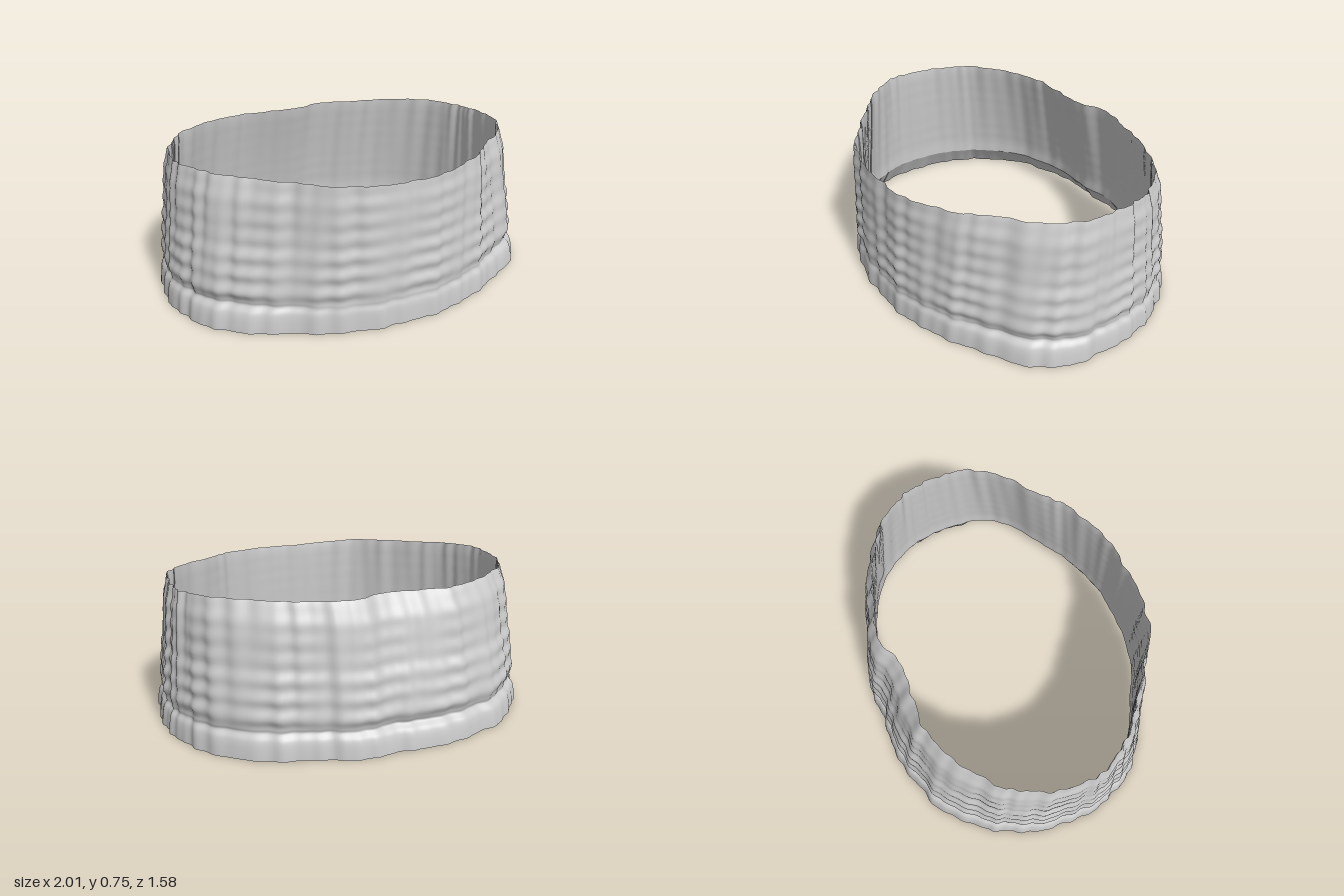
import * as THREE from 'three';

const SEG = 360;

// Matching plan outlines [x, z], running from the left side past the front
const baseOutline = [
  [1, 0], [0.985, 0.2], [0.93, 0.4], [0.81, 0.53], [0.6, 0.64], [0.4, 0.72], [0.2, 0.775],
  [0, 0.78], [-0.2, 0.76], [-0.4, 0.7], [-0.6, 0.59], [-0.8, 0.47], [-0.93, 0.31], [-0.985, 0.15],
  [-1, 0], [-0.97, -0.2], [-0.9, -0.38], [-0.8, -0.52], [-0.6, -0.69], [-0.4, -0.75], [-0.2, -0.785],
  [0, -0.76], [0.2, -0.755], [0.4, -0.68], [0.6, -0.6], [0.8, -0.47], [0.92, -0.3], [0.98, -0.15],
];
const topOutline = [
  [0.91, 0], [0.9, 0.15], [0.85, 0.29], [0.74, 0.41], [0.55, 0.54], [0.42, 0.635], [0.2, 0.715],
  [0, 0.73], [-0.2, 0.71], [-0.39, 0.65], [-0.53, 0.53], [-0.7, 0.38], [-0.82, 0.25], [-0.89, 0.12],
  [-0.91, 0], [-0.88, -0.15], [-0.81, -0.3], [-0.71, -0.41], [-0.52, -0.525], [-0.34, -0.58], [-0.18, -0.57],
  [0, -0.545], [0.2, -0.587], [0.4, -0.53], [0.57, -0.455], [0.75, -0.34], [0.86, -0.2], [0.9, -0.1],
];

// [height, how far the wall has moved from base outline to top outline]
const wallProfile = [
  [0, 0], [0.03, 0.03], [0.07, 0.09], [0.1, 0.18], [0.125, 0.36], [0.145, 0.32], [0.18, 0.26],
  [0.22, 0.28], [0.26, 0.33], [0.3, 0.36], [0.345, 0.42], [0.39, 0.47], [0.44, 0.56],
  [0.5, 0.61], [0.55, 0.66], [0.6, 0.7], [0.65, 0.77], [0.7, 0.88], [0.745, 1],
];

const closedCurve = (pts) =>
  new THREE.CatmullRomCurve3(pts.map(([x, z]) => new THREE.Vector3(x, 0, z)), true);
const baseCurve = closedCurve(baseOutline);
const topCurve = closedCurve(topOutline);
const profileCurve = new THREE.SplineCurve(wallProfile.map(([y, s]) => new THREE.Vector2(y, s)));

// Irregular vertical folds around the ring, drifting slightly with height
const folds = (a, y) =>
  0.004 * Math.sin(19 * a + 1.3 * Math.sin(3 * a) + y) +
  0.004 * Math.sin(37 * a + 2 * Math.sin(2 * a + 1) - 2 * y) +
  0.003 * Math.sin(61 * a + 1.5 * Math.sin(5 * a) + 2 * y);

// Horizontal rolls above the foot, fading upwards and uneven around the ring
const rolls = (a, y) =>
  0.006 * THREE.MathUtils.smoothstep(y, 0.1, 0.17) * (1 - y) *
  Math.cos(70 * (y - 0.2) + 0.5 * Math.sin(3 * a)) * (0.8 + 0.4 * Math.sin(13 * a + 4 * y));

// Rim height, dipping over the front and a little at the back
const rimScale = (a) => {
  const front = Math.max(0, Math.sin(a)), back = Math.max(0, -Math.sin(a));
  return 1 - 0.045 * front ** 4 - 0.012 * back ** 6 + 0.004 * Math.sin(7 * a);
};

// A point at turn u, height y, blend s, shifted outwards by "out"
function ringPoint(u, y, s, out, rough) {
  const a = u * Math.PI * 2;
  const back = Math.max(0, -Math.sin(a));
  const blend = s - 0.45 * back * s * (1 - s);
  const p = baseCurve.getPoint(u).lerp(topCurve.getPoint(u), blend);
  const r = p.length();
  p.multiplyScalar((r + out + rough * (folds(a, y) + rolls(a, y))) / r);
  p.y = y * (1 + (rimScale(a) - 1) * (y / 0.745));
  return p;
}

// Closed band from a list of rows, each a function of the turn u
function band(name, rows, material) {
  const position = [], index = [];
  rows.forEach((row, j) => {
    for (let i = 0; i < SEG; i++) {
      position.push(...row(i / SEG).toArray());
      if (j === rows.length - 1) continue;
      const a = j * SEG + i, b = j * SEG + ((i + 1) % SEG);
      index.push(a, a + SEG, b, b, a + SEG, b + SEG);
    }
  });
  const geometry = new THREE.BufferGeometry();
  geometry.setAttribute('position', new THREE.Float32BufferAttribute(position, 3));
  geometry.setIndex(index);
  geometry.computeVertexNormals();
  const mesh = new THREE.Mesh(geometry, material);
  mesh.name = name;
  return mesh;
}

export function createModel() {
  const material = new THREE.MeshStandardMaterial({ color: 0xcccccc, side: THREE.DoubleSide });
  const group = new THREE.Group();
  group.name = 'wrinkledCollar';

  // Wrinkled outside with the flared foot
  const outer = [];
  for (let j = 0; j <= 64; j++) {
    const { x: y, y: s } = profileCurve.getPoint(j / 64);
    outer.push((u) => ringPoint(u, y, s, 0, 1));
  }
  group.add(band('outerWall', outer, material));

  // Smooth lining, meeting the outside in a sharp rim and running down to the foot
  const inner = [];
  for (let j = 0; j <= 16; j++) {
    const t = j / 16;
    const y = THREE.MathUtils.lerp(0.745, 0.11, t);
    const s = THREE.MathUtils.lerp(1, 0.4, Math.min(1, t * 1.1));
    inner.push((u) => ringPoint(u, y, s, -0.022 * Math.sqrt(t), 1 - 0.6 * Math.sqrt(t)));
  }
  group.add(band('innerWall', inner, material));

  // Sloped underside of the foot
  const lip = [0, 0.25, 0.5, 0.75, 1].map((t) => (u) =>
    ringPoint(u, 0.11 * (1 - t), 0.4 * (1 - t), -0.022 * (1 - t), 0.4 + 0.6 * t));
  group.add(band('footUnderside', lip, material));

  return group;
}
